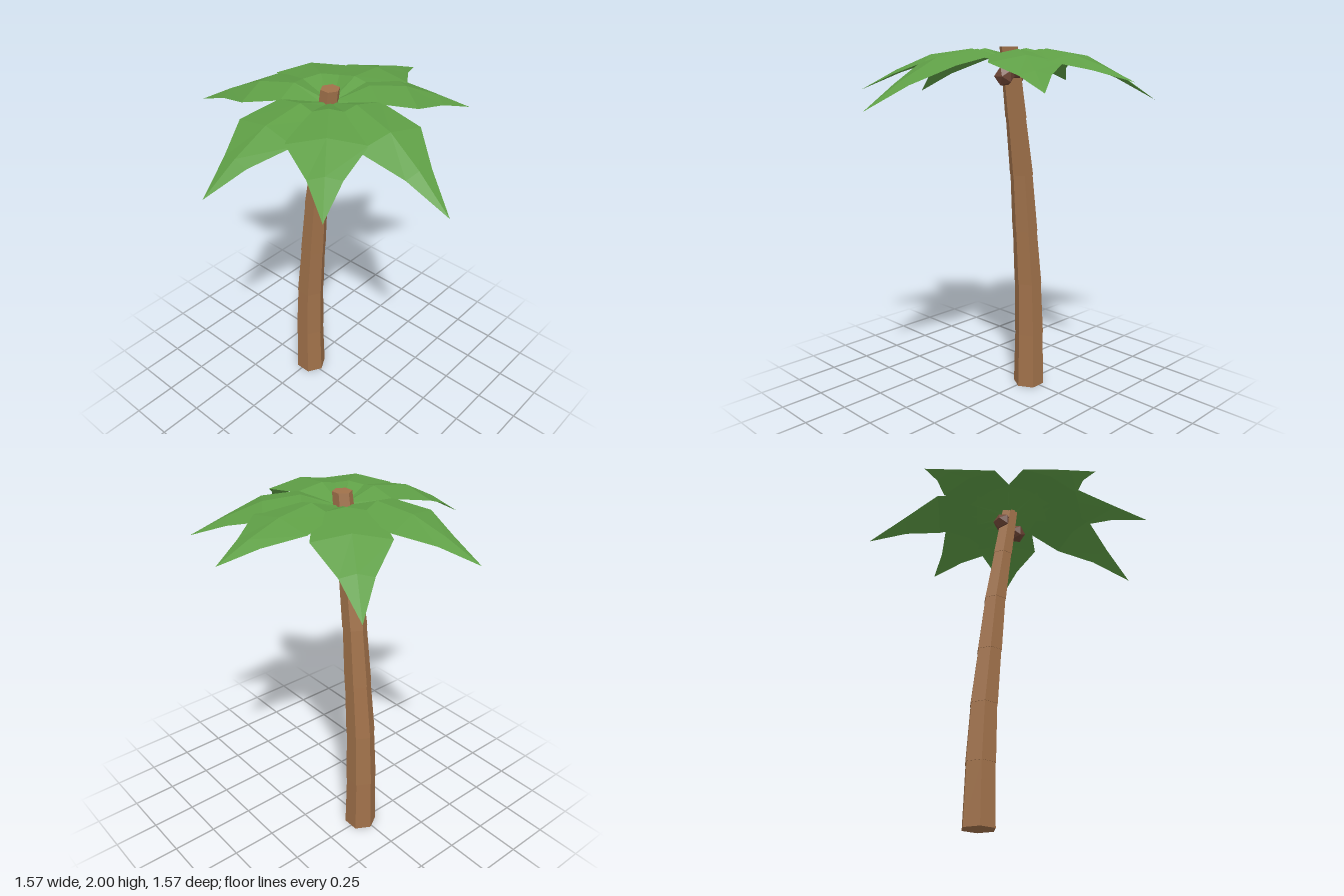
import * as THREE from 'three';

const mat = (name, color, extra = {}) => {
  const m = new THREE.MeshStandardMaterial({ color, flatShading: true, ...extra });
  m.name = name;
  return m;
};

export function createModel() {
  const bark = mat('bark brown', 0xa0714a);
  const green = mat('leaf green', 0x5f9f46, { side: THREE.DoubleSide });
  const husk = mat('husk brown', 0x6e4636);

  const tree = new THREE.Group();
  tree.name = 'palmTree';
  const add = (parent, name, geometry, material) => {
    const mesh = new THREE.Mesh(geometry, material);
    mesh.name = name;
    parent.add(mesh);
    return mesh;
  };

  // Leaning trunk: stacked hexagonal segments, [height, centre x, radius]
  const rings = [
    [0, -0.242, 0.092], [0.33, -0.24, 0.087], [0.65, -0.227, 0.081], [0.97, -0.197, 0.074],
    [1.3, -0.165, 0.067], [1.62, -0.117, 0.06], [2, -0.058, 0.05],
  ];
  const trunkZ = -0.013;
  const trunk = new THREE.Group();
  trunk.name = 'trunk';
  tree.add(trunk);
  for (let i = 0; i < rings.length - 1; i++) {
    const [y0, x0, r0] = rings[i], [y1, x1, r1] = rings[i + 1];
    const top = i === rings.length - 2 ? r1 : r1 - 0.003;
    const g = new THREE.CylinderGeometry(top, r0, y1 - y0, 6, 1, false, Math.PI / 2);
    const p = g.attributes.position;
    // Shear the segment so its rings stay level
    for (let v = 0; v < p.count; v++) p.setX(v, p.getX(v) + (p.getY(v) > 0 ? x1 : x0));
    g.translate(0, (y0 + y1) / 2, trunkZ);
    g.computeVertexNormals();
    add(trunk, 'trunkSegment', g, bark);
  }

  // Leaf: folded strip of cross-sections running from the crown to a drooping tip
  const cx = -0.06, cz = -0.018;
  function leafGeometry(tipX, tipY, tipZ) {
    const dx = tipX - cx, dz = tipZ - cz;
    const len = Math.hypot(dx, dz), ux = dx / len, uz = dz / len;
    const drop = 1.99 - tipY;
    // [distance along, half width, ridge height, edge drop]
    const sections = [
      [0.03, 0.03, 1.935, 0.01],
      [0.2, 0.15, 1.99, 0.03],
      [0.52 * len, 0.188, 1.99 - 0.14 * drop, 0.035],
      [0.755 * len, 0.08, 1.99 - 0.51 * drop, 0.02],
      [len, 0, tipY, 0],
    ];
    const pos = [], index = [];
    for (const [d, w, y, e] of sections)
      for (const s of [-1, 0, 1])
        pos.push(cx + ux * d - uz * w * s, y - e * Math.abs(s), cz + uz * d + ux * w * s);
    for (let i = 0; i < sections.length - 1; i++)
      for (let j = 0; j < 2; j++) {
        const a = i * 3 + j, b = a + 1, c = a + 3, d = a + 4;
        index.push(a, b, d);
        if (i < sections.length - 2) index.push(a, d, c);
      }
    // Close the tip onto its ridge point
    const g = new THREE.BufferGeometry();
    g.setAttribute('position', new THREE.Float32BufferAttribute(pos, 3));
    g.setIndex(index);
    const flat = g.toNonIndexed();
    flat.computeVertexNormals();
    return flat;
  }

  const crown = new THREE.Group();
  crown.name = 'crown';
  tree.add(crown);
  const tips = [
    [0.78, 1.7, 0.14], [0.46, 1.77, 0.61], [-0.105, 1.73, 0.785], [-0.785, 1.79, 0.2],
    [-0.75, 1.71, -0.483], [-0.125, 1.84, -0.785], [0.35, 1.805, -0.64],
  ];
  for (const tip of tips) add(crown, 'leaf', leafGeometry(...tip), green);

  // Nuts hanging under the crown
  const nuts = new THREE.Group();
  nuts.name = 'nuts';
  tree.add(nuts);
  for (const [x, y, z] of [[0.015, 1.85, -0.055], [-0.12, 1.85, -0.01], [-0.055, 1.885, -0.07]])
    add(nuts, 'nut', new THREE.IcosahedronGeometry(0.056, 0), husk).position.set(x, y, z);

  return tree;
}
